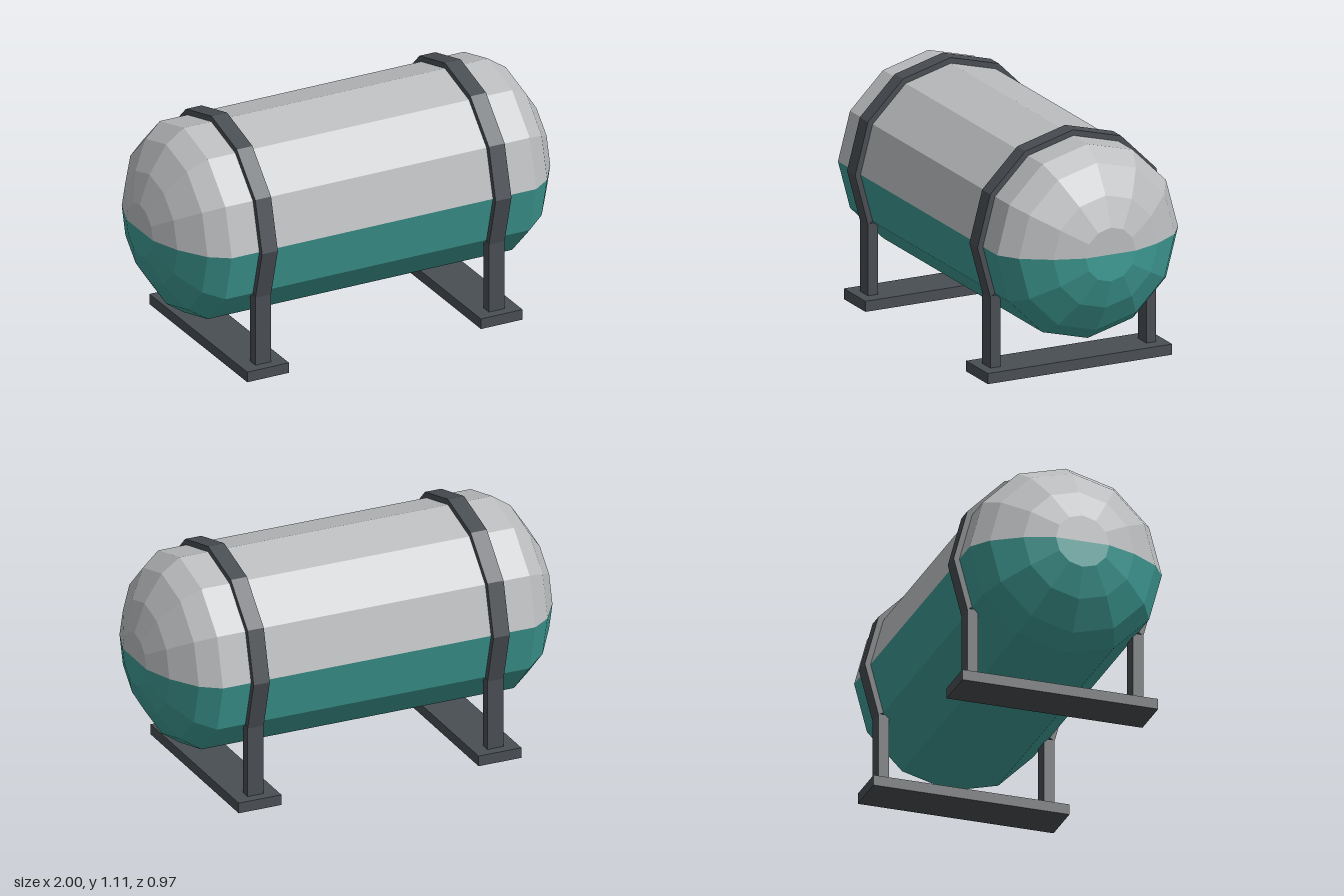
import * as THREE from 'three';

const AXIS_Y = 0.628;

export function createModel() {
  const model = new THREE.Group();
  model.name = 'storageTank';

  const paint = (name, color) => {
    const m = new THREE.MeshStandardMaterial({ color });
    m.name = name;
    m.flatShading = true;
    return m;
  };
  const grey = paint('light grey', 0xbabcbe);
  const teal = paint('teal', 0x3e9a93);
  const steel = paint('dark steel', 0x494e53);

  const add = (name, geometry, material, x, y, z) => {
    const mesh = new THREE.Mesh(geometry, material);
    mesh.name = name;
    mesh.position.set(x, y, z);
    model.add(mesh);
  };

  // Tank: one domed profile, turned in two halves of six sides each
  const dome = [[0.775, 0.458], [0.865, 0.395], [0.95, 0.265], [1, 0.127], [1, 0]];
  const profile = [
    ...dome.map(([x, r]) => new THREE.Vector2(r, -x)).reverse(),
    ...dome.map(([x, r]) => new THREE.Vector2(r, x)),
  ];
  const half = (start) =>
    new THREE.LatheGeometry(profile, 6, start, Math.PI).rotateZ(-Math.PI / 2);
  add('tankLowerHalf', half(0), teal, 0, AXIS_Y, 0);
  add('tankUpperHalf', half(Math.PI), grey, 0, AXIS_Y, 0);

  // Strap outline: an open faceted band that ends 30 degrees below the middle
  const width = 0.08;
  const arc = (r) => Array.from({ length: 9 }, (_, i) => {
    const a = (i - 1) * Math.PI / 6;
    return new THREE.Vector2(r * Math.cos(a), r * Math.sin(a));
  });
  const strapShape = new THREE.Shape([...arc(0.485), ...arc(0.455).reverse()]);
  const strap = new THREE.ExtrudeGeometry(strapShape, { depth: width, bevelEnabled: false })
    .translate(0, 0, -width / 2)
    .rotateY(Math.PI / 2);

  // Two cradles, each with a strap, two legs and a foot
  for (const [side, x] of [['left', 0.595], ['right', -0.595]]) {
    add(side + 'Strap', strap, steel, x, AXIS_Y, 0);
    add(side + 'Foot', new THREE.BoxGeometry(0.212, 0.05, 0.934), steel, x, 0.025, 0);
    for (const [end, z] of [['Front', 0.395], ['Back', -0.395]]) {
      add(side + end + 'Leg', new THREE.BoxGeometry(width, 0.345, 0.05), steel, x, 0.2175, z);
    }
  }
  return model;
}
